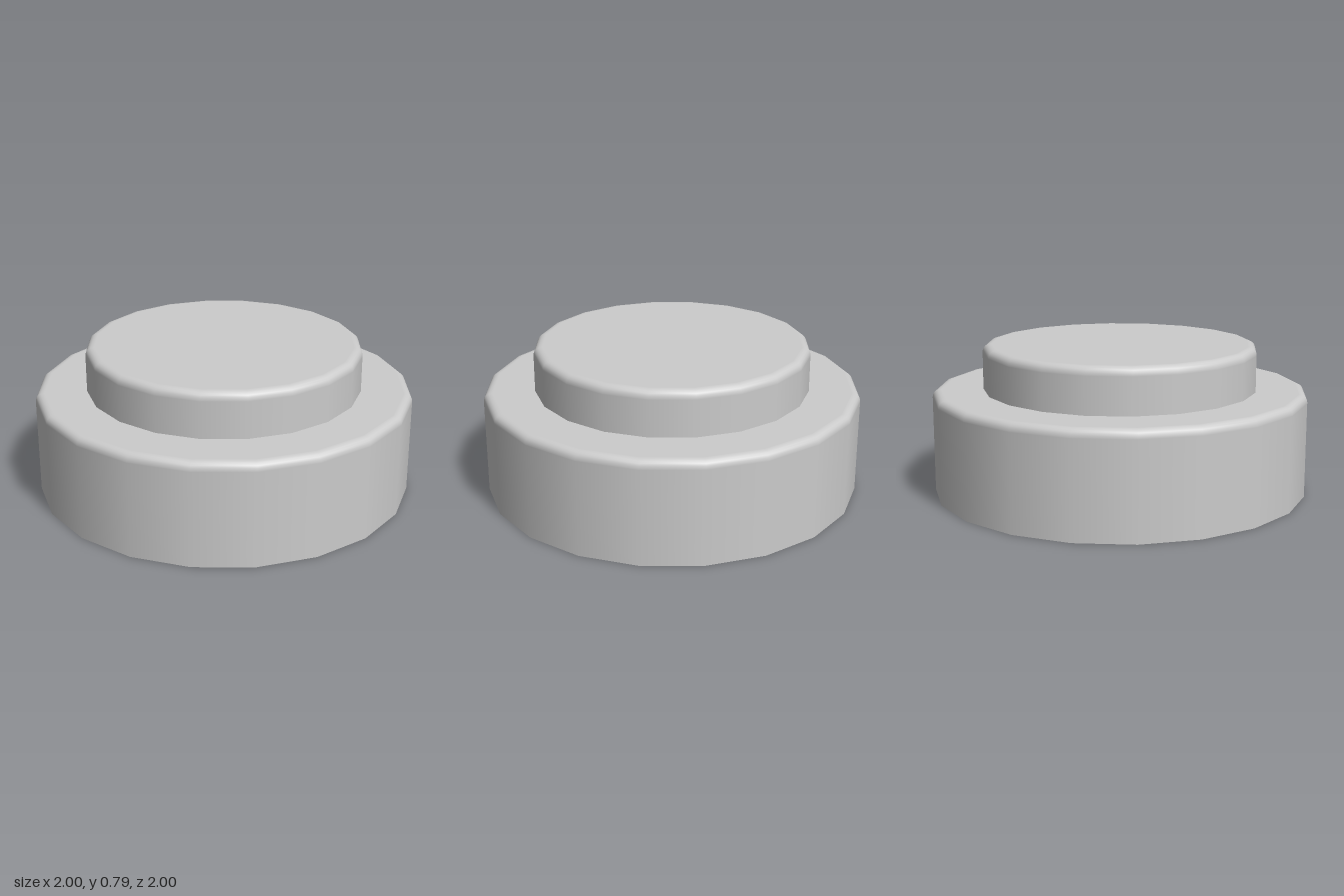
import * as THREE from 'three';

const SIDES = 20;

// Open-bottomed wall that rounds over into a flat top running in to innerRadius
function roundedShell(name, radius, innerRadius, bottom, top, bevel) {
  const hold = 0.006; // narrow bands that keep the wall and top flat in shading
  const points = [
    new THREE.Vector2(radius, bottom),
    new THREE.Vector2(radius, top - bevel - hold),
  ];
  for (let i = 0; i <= 5; i++) {
    const a = (i / 5) * Math.PI / 2;
    points.push(new THREE.Vector2(
      radius - bevel + bevel * Math.cos(a),
      top - bevel + bevel * Math.sin(a)
    ));
  }
  points.push(new THREE.Vector2(radius - bevel - hold, top));
  points.push(new THREE.Vector2(innerRadius, top));

  const material = new THREE.MeshStandardMaterial({ color: 0xcccccc, side: THREE.DoubleSide });
  const mesh = new THREE.Mesh(new THREE.LatheGeometry(points, SIDES), material);
  mesh.name = name;
  return mesh;
}

export function createModel() {
  const group = new THREE.Group();
  group.name = 'steppedCap';

  // Wide lower body, open underneath, with a ring-shaped shoulder
  group.add(roundedShell('lowerBody', 1, 0.73, 0, 0.55, 0.04));

  // Narrower raised disc, hollow and closed on top
  group.add(roundedShell('raisedTop', 0.73, 0, 0.55, 0.79, 0.04));

  return group;
}
